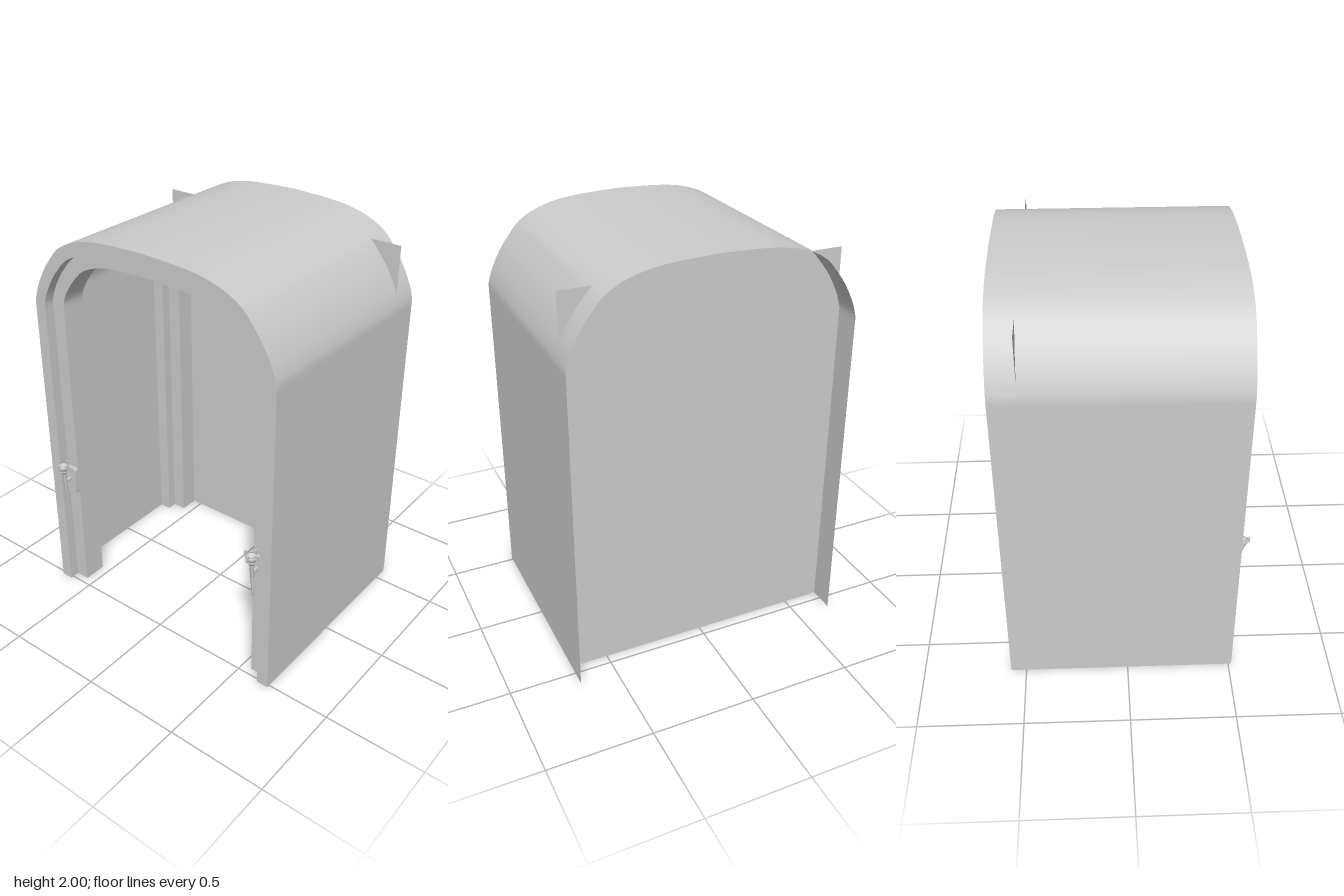
import * as THREE from 'three';

const SPRING = 1.61;
const FRONT = 0.515, BACK = -0.575, WALL = -0.45;
const OUTER = [0.68, 0.39], MIDDLE = [0.62, 0.33], INNER = [0.55, 0.26];
const material = new THREE.MeshStandardMaterial({ color: 0xcccccc, side: THREE.DoubleSide });

// Quarter of the arch, scaled to each arch's half width and rise
const quarter = new THREE.CatmullRomCurve3(
  [[1, 0], [0.97, 0.17], [0.9, 0.41], [0.83, 0.58], [0.745, 0.745], [0.63, 0.86], [0.49, 0.935], [0.33, 0.975], [0, 1]]
    .map(([x, y]) => new THREE.Vector3(x, y, 0))
).getPoints(20);

function archPoints([halfWidth, rise]) {
  const half = [[halfWidth, 0], [halfWidth, SPRING - 0.03],
    ...quarter.map(p => [p.x * halfWidth, SPRING + p.y * rise])];
  return [...half, ...half.slice(0, -1).reverse().map(([x, y]) => [-x, y])];
}

function add(parent, name, geometry, x = 0, y = 0, z = 0) {
  const mesh = new THREE.Mesh(geometry, material);
  mesh.name = name;
  mesh.position.set(x, y, z);
  parent.add(mesh);
  return mesh;
}

// Surface between two arches, each given as [size, z]
function archStrip([sizeA, zA], [sizeB, zB]) {
  const a = archPoints(sizeA), b = archPoints(sizeB);
  const positions = [], index = [];
  a.forEach((p, i) => {
    positions.push(p[0], p[1], zA, b[i][0], b[i][1], zB);
    if (i < a.length - 1) {
      const k = i * 2;
      index.push(k, k + 1, k + 2, k + 1, k + 3, k + 2);
    }
  });
  const geometry = new THREE.BufferGeometry();
  geometry.setAttribute('position', new THREE.Float32BufferAttribute(positions, 3));
  geometry.setIndex(index);
  geometry.computeVertexNormals();
  return geometry;
}

// Hollow stepped frame, open at the floor
function archFrame(name, front, depth) {
  const frame = new THREE.Group();
  frame.name = name;
  const step = front - 0.05, back = front - depth;
  const profile = [[OUTER, back], [INNER, back], [INNER, step], [MIDDLE, step], [MIDDLE, front], [OUTER, front]];
  for (let i = 0; i < profile.length - 1; i++) {
    add(frame, `${name}Face${i + 1}`, archStrip(profile[i], profile[i + 1]));
  }
  return frame;
}

// Rounded wall plate holding a tapered torch with a pronged cup
function wallTorch(name, x) {
  const torch = new THREE.Group();
  torch.name = name;
  torch.position.set(x, 0, 0);

  const w = 0.034, low = 0.565, high = 0.71, r = 0.018;
  const plate = new THREE.Shape();
  plate.moveTo(-w + r, low);
  plate.lineTo(w - r, low);
  plate.quadraticCurveTo(w, low, w, low + r);
  plate.lineTo(w, high - r);
  plate.quadraticCurveTo(w, high, w - r, high);
  plate.lineTo(-w + r, high);
  plate.quadraticCurveTo(-w, high, -w, high - r);
  plate.lineTo(-w, low + r);
  plate.quadraticCurveTo(-w, low, -w + r, low);
  add(torch, 'backPlate', new THREE.ExtrudeGeometry(plate, { depth: 0.02, bevelEnabled: false, curveSegments: 5 }), 0, 0, FRONT - 0.05);
  add(torch, 'bracket', new THREE.BoxGeometry(0.014, 0.02, 0.045), 0, 0.645, 0.503);

  const handle = add(torch, 'handle', new THREE.CylinderGeometry(0.012, 0.003, 0.22, 8), 0, 0.61, 0.522);
  handle.rotation.x = 0.06;

  const cup = [[0, 0.695], [0.013, 0.7], [0.016, 0.715], [0.028, 0.735], [0.028, 0.745], [0.02, 0.745], [0, 0.73]];
  add(torch, 'cup', new THREE.LatheGeometry(cup.map(p => new THREE.Vector2(...p)), 12), 0, 0, 0.53);
  const ring = add(torch, 'collar', new THREE.TorusGeometry(0.016, 0.004, 6, 12), 0, 0.712, 0.53);
  ring.rotation.x = Math.PI / 2;
  for (let i = 0; i < 4; i++) {
    const a = i * Math.PI / 2;
    const prong = add(torch, 'prong', new THREE.BoxGeometry(0.009, 0.03, 0.012),
      Math.sin(a) * 0.031, 0.745, 0.53 + Math.cos(a) * 0.031);
    prong.rotation.y = a;
  }
  return torch;
}

export function createModel() {
  const model = new THREE.Group();
  model.name = 'archedAlcove';

  // Thin vaulted shell
  add(model, 'shell', archStrip([OUTER, FRONT], [OUTER, BACK]));

  // Flat rear wall whose upper corners pass through the vault
  add(model, 'rearWall', new THREE.PlaneGeometry(1.325, 1.9), 0, 0.95, WALL);

  model.add(archFrame('frontFrame', FRONT, 0.17));
  model.add(archFrame('rearFrame', -0.3, 0.148));

  model.add(wallTorch('leftTorch', 0.585), wallTorch('rightTorch', -0.585));
  return model;
}
